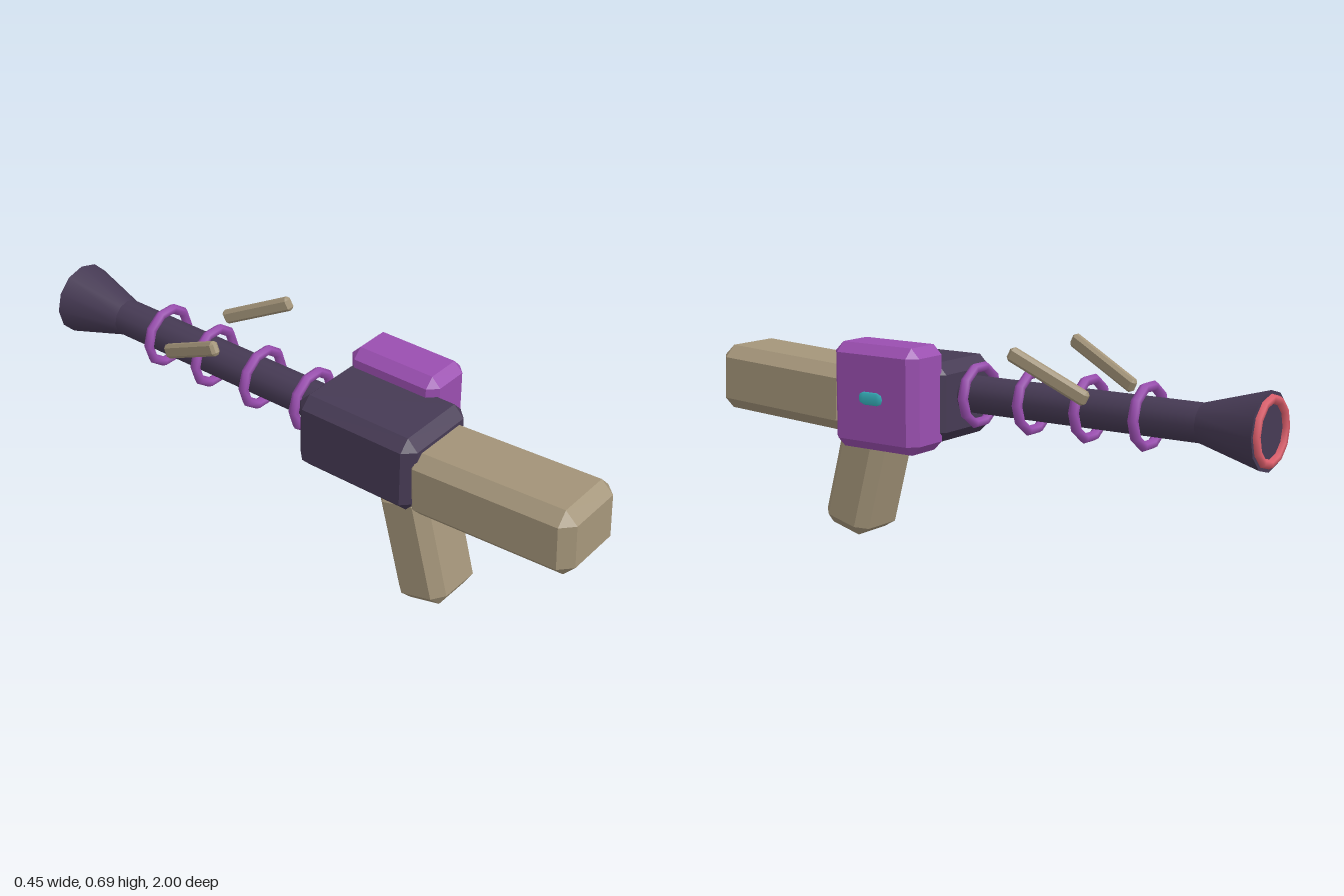
import * as THREE from 'three';
import { ConvexGeometry } from 'three/addons/geometries/ConvexGeometry.js';

const mat = (name, color) => {
  const m = new THREE.MeshStandardMaterial({ color });
  m.name = name;
  return m;
};

// Box with every edge and corner cut at 45 degrees
function chamferBox(w, h, d, c) {
  const half = [w / 2, h / 2, d / 2];
  const pts = [];
  for (const sx of [-1, 1]) for (const sy of [-1, 1]) for (const sz of [-1, 1])
    for (let full = 0; full < 3; full++) {
      const p = half.map((v, i) => (i === full ? v : v - c));
      pts.push(new THREE.Vector3(p[0] * sx, p[1] * sy, p[2] * sz));
    }
  return new ConvexGeometry(pts);
}

export function createModel() {
  const wood = mat('tan wood', 0xa39479);
  const dark = mat('dark violet metal', 0x463a54);
  const purple = mat('purple', 0x9a4eb0);
  const red = mat('coral red', 0xdc5f6c);
  const teal = mat('teal', 0x38b4c0);

  const root = new THREE.Group();
  root.name = 'blaster';
  const add = (name, geo, material, x, y, z) => {
    const m = new THREE.Mesh(geo, material);
    m.name = name;
    m.position.set(x, y, z);
    root.add(m);
    return m;
  };
  const CX = -0.038, CY = 0.502; // barrel axis

  // Body, stock and grip
  add('body', chamferBox(0.296, 0.25, 0.43, 0.035), dark, CX, 0.484, 0.26);
  add('stock', chamferBox(0.26, 0.215, 0.56, 0.038), wood, CX, 0.467, 0.715).rotation.x = -0.05;
  add('grip', chamferBox(0.208, 0.385, 0.18, 0.035), wood, CX, 0.2, 0.442).rotation.x = -0.26;

  // Side canister with its small indicator light
  add('sideCanister', chamferBox(0.172, 0.33, 0.325, 0.03), purple, 0.136, 0.502, 0.222);
  const light = add('indicatorLight', new THREE.CapsuleGeometry(0.023, 0.05, 2, 8), teal, 0.22, 0.503, 0.226);
  light.rotation.x = Math.PI / 2;
  light.scale.x = 0.3;

  // Barrel and flared muzzle
  add('barrel', new THREE.CylinderGeometry(0.06, 0.06, 0.9, 12), dark, CX, CY, -0.35).rotation.x = Math.PI / 2;
  add('muzzle', new THREE.CylinderGeometry(0.06, 0.117, 0.205, 12), dark, CX, CY, -0.8825).rotation.x = Math.PI / 2;
  add('muzzleRing', new THREE.TorusGeometry(0.093, 0.014, 6, 12), red, CX, CY, -0.987);

  // Coil rings around the barrel
  for (let i = 0; i < 4; i++)
    add('coilRing', new THREE.TorusGeometry(0.09, 0.016, 6, 10), purple, CX, CY, -0.2 * i);

  // Slanted fins floating on both sides
  for (const s of [-1, 1]) {
    const fin = add(s > 0 ? 'leftFin' : 'rightFin', chamferBox(0.03, 0.045, 0.275, 0.009), wood,
      CX + s * 0.154, 0.616, -0.351);
    fin.rotation.order = 'YXZ';
    fin.rotation.set(-0.46, s * 0.16, 0);
  }
  return root;
}
